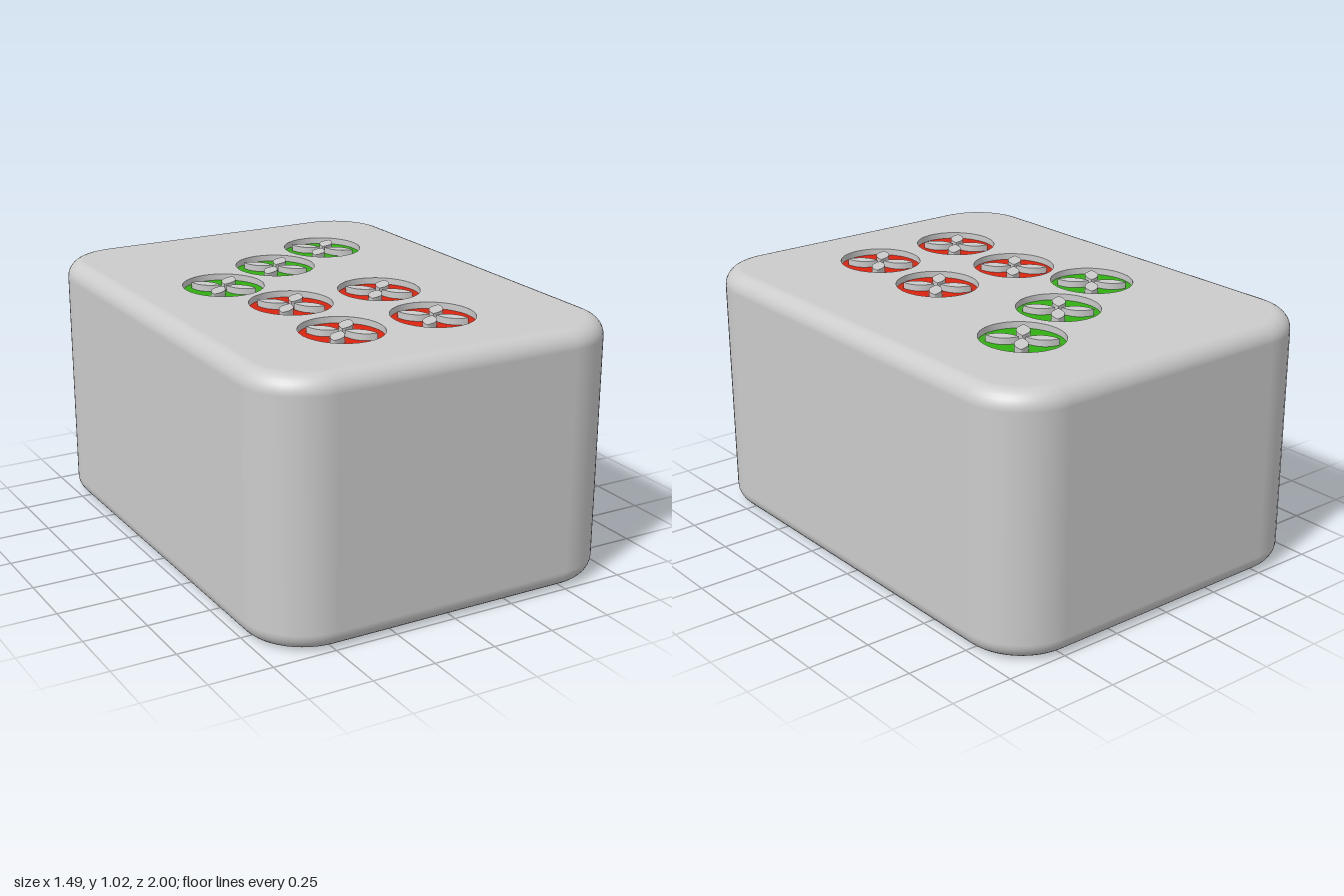
import * as THREE from 'three';

const W = 0.745, D = 1, H = 1.02;      // half width, half depth, height
const CORNER = 0.25, EDGE = 0.07;      // plan corner radius, edge rounding
const DEPTH = 0.025;                   // engraving depth

const grey = new THREE.MeshStandardMaterial({ color: 0xcccccc });
const wallGrey = new THREE.MeshStandardMaterial({ color: 0xcccccc, side: THREE.DoubleSide });
const red = new THREE.MeshStandardMaterial({ color: 0xdc2410 });
const green = new THREE.MeshStandardMaterial({ color: 0x32b012 });

// rounded rectangle, counter-clockwise from above, in (x, -z), with outward directions
function outline(inset) {
  const pts = [], steps = 12, r = CORNER - inset;
  for (let k = 0; k < 4; k++) {
    const sx = k === 0 || k === 3 ? 1 : -1, sy = k < 2 ? 1 : -1;
    for (let i = 0; i <= steps; i++) {
      const a = (k + i / steps) * Math.PI / 2;
      const nx = Math.cos(a), ny = Math.sin(a);
      pts.push({ x: sx * (W - CORNER) + r * nx, y: sy * (D - CORNER) + r * ny, nx, ny });
    }
  }
  return pts;
}

// side walls with rounded top and bottom edges
function sideGeometry() {
  const pos = [], nor = [], idx = [], steps = 8, rings = [];
  for (let i = 0; i <= steps; i++) rings.push([-Math.PI / 2 * (1 - i / steps), EDGE]);
  for (let i = 0; i <= steps; i++) rings.push([Math.PI / 2 * i / steps, H - EDGE]);
  let n = 0;
  rings.forEach(([a, yc], j) => {
    const c = Math.cos(a), s = Math.sin(a);
    const ring = outline(EDGE * (1 - c));
    n = ring.length;
    ring.forEach((p, i) => {
      pos.push(p.x, yc + EDGE * s, -p.y);
      nor.push(p.nx * c, s, -p.ny * c);
      if (j === rings.length - 1) return;
      const k = (i + 1) % n, lo = j * n, hi = lo + n;
      idx.push(lo + i, lo + k, hi + k, lo + i, hi + k, hi + i);
    });
  });
  const g = new THREE.BufferGeometry();
  g.setAttribute('position', new THREE.Float32BufferAttribute(pos, 3));
  g.setAttribute('normal', new THREE.Float32BufferAttribute(nor, 3));
  g.setIndex(idx);
  return g;
}

// horizontal face from a shape drawn in (x, -z)
function face(name, shape, y, material) {
  const g = new THREE.ShapeGeometry(shape, 24).rotateX(-Math.PI / 2).translate(0, y, 0);
  const m = new THREE.Mesh(g, material);
  m.name = name;
  return m;
}

// vertical wall of an engraving along a closed path
function wall(name, path) {
  const pts = path.getPoints(24), pos = [], idx = [];
  pts.forEach((p, i) => {
    pos.push(p.x, H - DEPTH, -p.y, p.x, H, -p.y);
    if (i < pts.length - 1) {
      const a = i * 2;
      idx.push(a, a + 2, a + 3, a, a + 3, a + 1);
    }
  });
  const g = new THREE.BufferGeometry();
  g.setAttribute('position', new THREE.Float32BufferAttribute(pos, 3));
  g.setIndex(idx);
  g.computeVertexNormals();
  const m = new THREE.Mesh(g, wallGrey);
  m.name = name;
  return m;
}

function discShape(x, z) {
  const s = new THREE.Shape();
  s.absellipse(x, -z, 0.158, 0.169, 0, Math.PI * 2);
  return s;
}

// leaf-shaped island pointing along a diagonal
function petalShape(x, z, sx, sy) {
  const s = new THREE.Shape(), cy = -z, w = 0.037;
  const at = (u, v) => [x + sx * u, cy + sy * v];
  s.moveTo(...at(0.008, 0.009));
  s.quadraticCurveTo(...at(0.05 + w, 0.055 - w), ...at(0.091, 0.101));
  s.quadraticCurveTo(...at(0.05 - w, 0.055 + w), ...at(0.008, 0.009));
  return s;
}

export function createModel() {
  const model = new THREE.Group();
  model.name = 'gameTile';

  // engraved discs: x, z, colour
  const discs = [
    [-0.335, -0.18, green], [-0.016, -0.348, green], [0.30, -0.515, green],
    [-0.224, 0.17, red], [0.166, 0.17, red],
    [-0.232, 0.567, red], [0.158, 0.567, red],
  ];

  // tile body
  const body = new THREE.Group();
  body.name = 'tileBody';
  const sides = new THREE.Mesh(sideGeometry(), grey);
  sides.name = 'roundedSides';
  const capPoints = outline(EDGE).map(p => new THREE.Vector2(p.x, p.y));
  const top = new THREE.Shape(capPoints);
  discs.forEach(([x, z]) => top.holes.push(discShape(x, z)));
  const bottom = new THREE.Mesh(
    new THREE.ShapeGeometry(new THREE.Shape(capPoints)).rotateX(Math.PI / 2), grey);
  bottom.name = 'bottomFace';
  body.add(sides, face('topFace', top, H, grey), bottom);
  model.add(body);

  // coloured recesses with four raised petals each
  discs.forEach(([x, z, colour]) => {
    const disc = new THREE.Group();
    disc.name = 'engravedDisc';
    const shape = discShape(x, z);
    disc.add(face('discFloor', shape, H - DEPTH, colour), wall('discWall', shape));
    for (const sx of [-1, 1]) for (const sy of [-1, 1]) {
      const petal = petalShape(x, z, sx, sy);
      disc.add(face('petalTop', petal, H, grey), wall('petalWall', petal));
    }
    model.add(disc);
  });
  return model;
}
